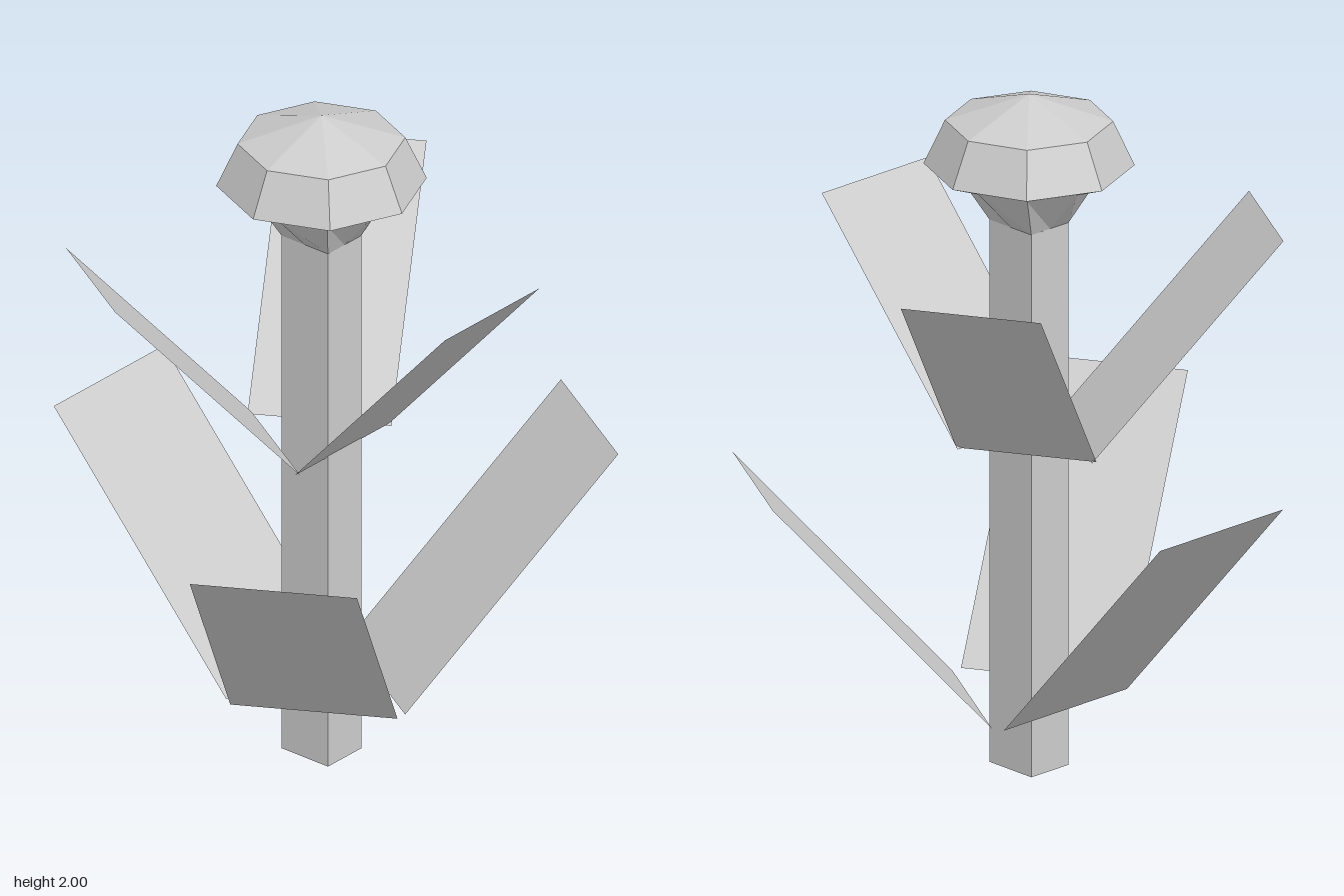
import * as THREE from 'three';

const CENTER_Z = 0.075;
const STEM = { halfX: 0.072, halfZ: 0.085, top: 1.62 };

const solid = new THREE.MeshStandardMaterial({ color: 0xcccccc, flatShading: true });
const thin = new THREE.MeshStandardMaterial({ color: 0xcccccc, flatShading: true, side: THREE.DoubleSide });

// Square stem standing on the ground
function createStem() {
  const geometry = new THREE.BoxGeometry(STEM.halfX * 2, STEM.top, STEM.halfZ * 2);
  const stem = new THREE.Mesh(geometry, solid);
  stem.name = 'stem';
  stem.position.set(0, STEM.top / 2, CENTER_Z);
  return stem;
}

// Eight-sided flower head whose lowest ring narrows to the square stem
function createHead() {
  const profile = [[0.12, STEM.top], [0.195, 1.75], [0.295, 1.79], [0.235, 1.92], [0, 2]]
    .map(([r, y]) => new THREE.Vector2(r, y));
  const geometry = new THREE.LatheGeometry(profile, 8);
  const pos = geometry.attributes.position;
  for (let i = 0; i < pos.count; i++) {
    if (pos.getY(i) > STEM.top + 0.01) continue;
    pos.setX(i, THREE.MathUtils.clamp(pos.getX(i), -STEM.halfX, STEM.halfX));
    pos.setZ(i, THREE.MathUtils.clamp(pos.getZ(i), -STEM.halfZ, STEM.halfZ));
  }
  const head = new THREE.Mesh(geometry, solid);
  head.name = 'flowerHead';
  head.position.z = CENTER_Z;
  return head;
}

// Three flat leaves leaning outward, evenly spaced around the stem
function createLeafRing({ name, width, y0, y1, r0, r1, z, turn }) {
  const ring = new THREE.Group();
  ring.name = name;
  ring.position.z = z;
  for (let i = 0; i < 3; i++) {
    const geometry = new THREE.PlaneGeometry(width, 1);
    const pos = geometry.attributes.position;
    for (let v = 0; v < pos.count; v++) {
      const upper = pos.getY(v) > 0;
      pos.setY(v, upper ? y1 : y0);
      pos.setZ(v, upper ? r1 : r0);
    }
    geometry.computeVertexNormals();
    const leaf = new THREE.Mesh(geometry, thin);
    leaf.name = 'leaf';
    leaf.rotation.y = turn + i * Math.PI * 2 / 3;
    ring.add(leaf);
  }
  return ring;
}

export function createModel() {
  const flower = new THREE.Group();
  flower.name = 'flower';
  flower.add(
    createStem(),
    createHead(),
    createLeafRing({ name: 'upperLeaves', width: 0.408, y0: 0.97, y1: 1.585, r0: 0.108, r1: 0.658, z: 0.042, turn: 0 }),
    createLeafRing({ name: 'lowerLeaves', width: 0.475, y0: 0.2, y1: 0.91, r0: 0.156, r1: 0.788, z: 0.084, turn: Math.PI }),
  );
  return flower;
}
